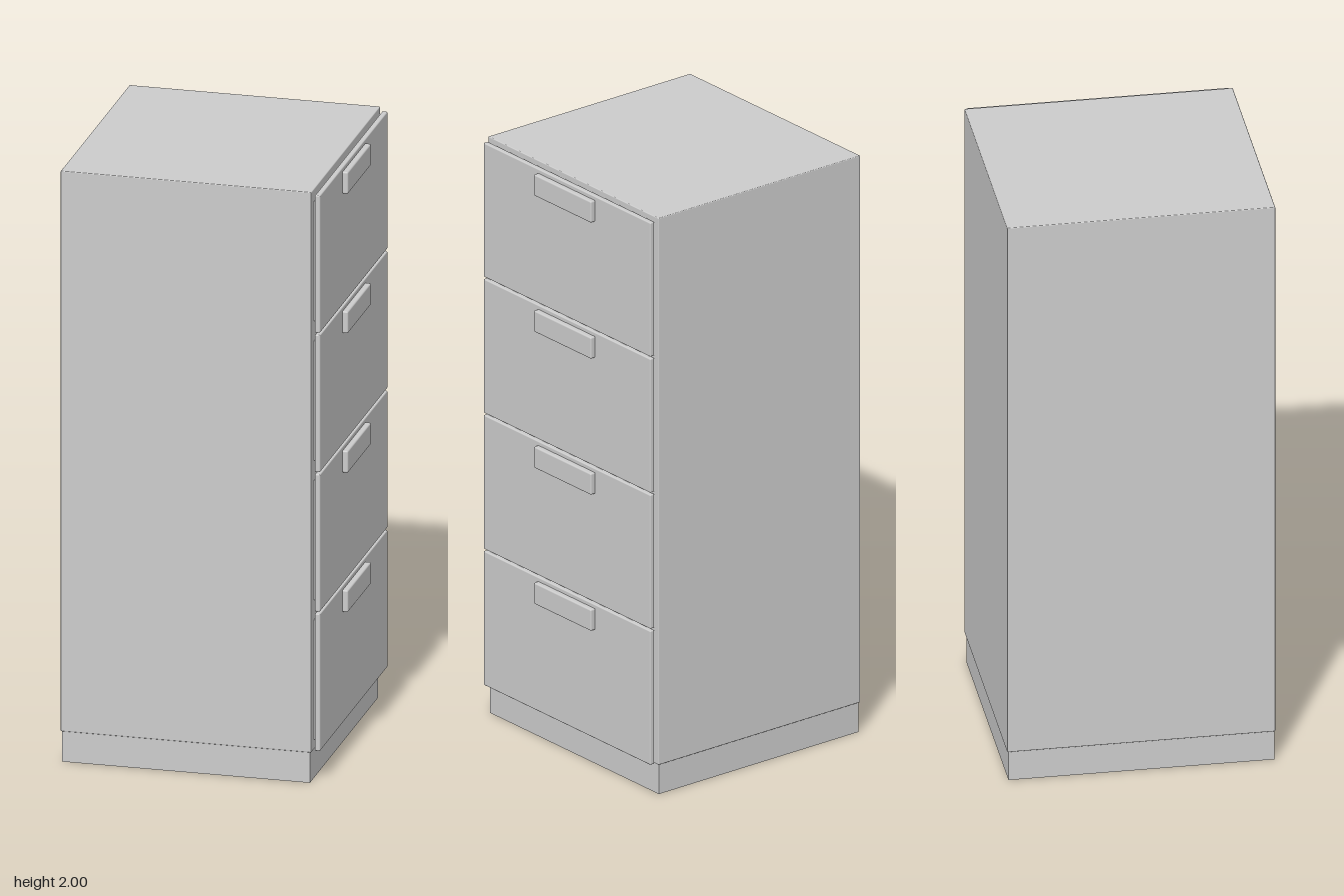
import * as THREE from 'three';
import { RoundedBoxGeometry } from 'three/addons/geometries/RoundedBoxGeometry.js';

const material = new THREE.MeshStandardMaterial({ color: 0xcccccc });

// Box given by its limits on each axis; a radius rounds its edges
function block(name, [x0, x1], [y0, y1], [z0, z1], radius = 0) {
  const size = [x1 - x0, y1 - y0, z1 - z0];
  const geometry = radius
    ? new RoundedBoxGeometry(...size, 2, radius)
    : new THREE.BoxGeometry(...size);
  const mesh = new THREE.Mesh(geometry, material);
  mesh.name = name;
  mesh.position.set((x0 + x1) / 2, (y0 + y1) / 2, (z0 + z1) / 2);
  return mesh;
}

// One drawer: inset backing, front panel and a handle near the top edge
function createDrawer(bottom, height) {
  const drawer = new THREE.Group();
  const top = bottom + height;
  drawer.add(
    block('drawerBacking', [0.38, 0.402], [bottom + 0.03, top - 0.03], [-0.4, 0.4]),
    block('drawerFront', [0.4, 0.418], [bottom, top], [-0.427, 0.425], 0.004),
    block('drawerHandle', [0.416, 0.437], [top - 0.087, top - 0.013], [-0.147, 0.145], 0.005),
  );
  return drawer;
}

export function createModel() {
  const cabinet = new THREE.Group();
  cabinet.name = 'filingCabinet';

  // Carcass on a slightly recessed plinth
  cabinet.add(
    block('cabinetBody', [-0.438, 0.391], [0.103, 2], [-0.436, 0.434], 0.003),
    block('plinth', [-0.433, 0.386], [0, 0.105], [-0.431, 0.431]),
  );

  // Four drawers stacked with narrow gaps, opening towards +x
  const count = 4, first = 0.107, pitch = 0.472, gap = 0.007;
  for (let i = 0; i < count; i++) {
    const drawer = createDrawer(first + i * pitch, pitch - gap);
    drawer.name = `drawer${i + 1}`;
    cabinet.add(drawer);
  }
  return cabinet;
}
